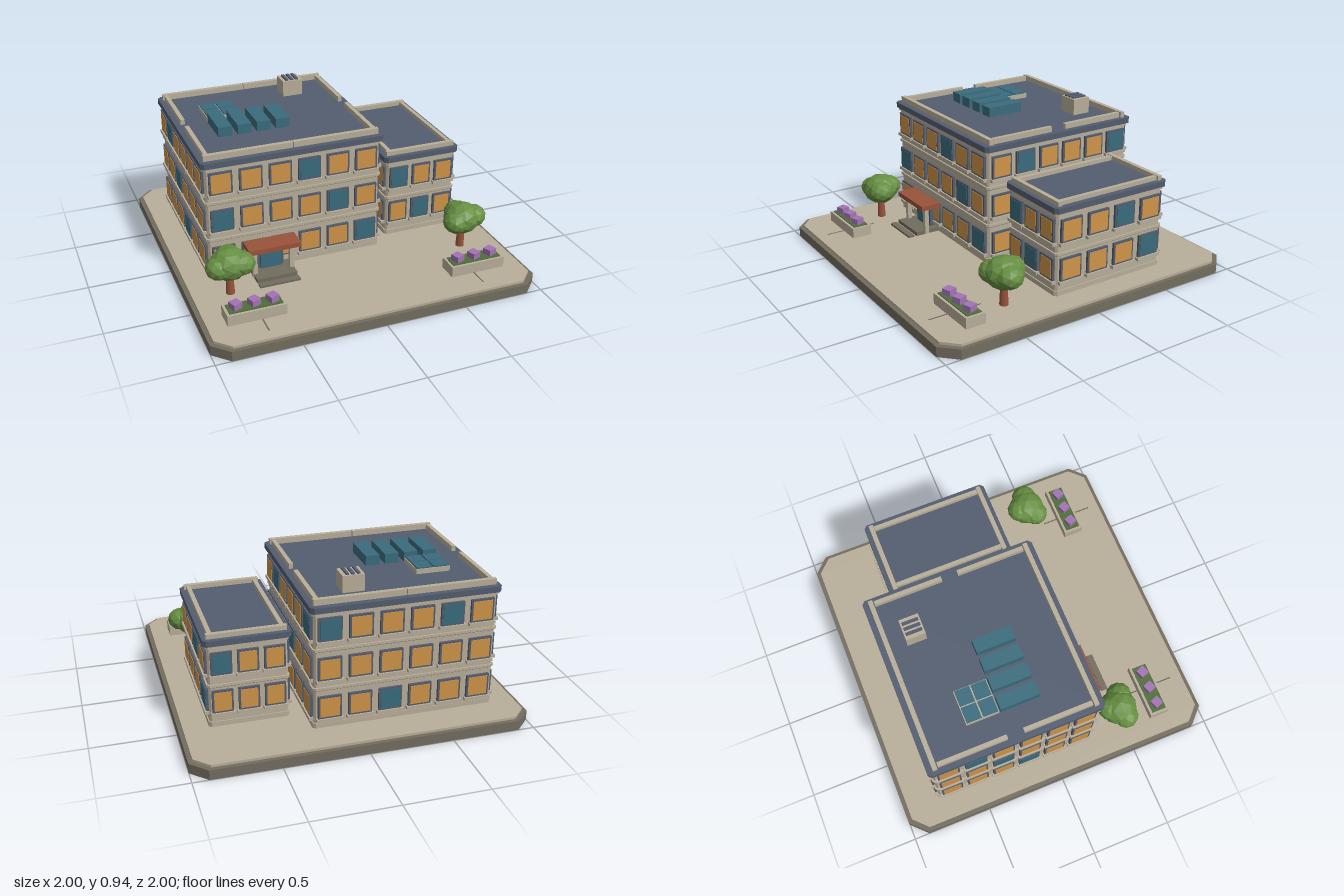
import * as THREE from 'three';

const mat = (name, color) => {
  const m = new THREE.MeshStandardMaterial({ color });
  m.name = name;
  return m;
};

export function createModel() {
  const model = new THREE.Group();
  model.name = 'apartmentBlock';
  const stone = mat('stone', 0xb8ae9a), slate = mat('slate', 0x535d70);
  const amber = mat('amberGlass', 0xcf9448), teal = mat('tealGlass', 0x3a6c7d);
  const curb = mat('curb', 0x736d5f), rust = mat('rust', 0x99533a);
  const moss = mat('moss', 0x4f6d3a), petal = mat('petal', 0xa273b4);
  const leaf = mat('leaf', 0x668f42);
  leaf.flatShading = true;

  const add = (parent, name, geometry, material, x = 0, y = 0, z = 0) => {
    const mesh = new THREE.Mesh(geometry, material);
    mesh.name = name;
    mesh.position.set(x, y, z);
    parent.add(mesh);
    return mesh;
  };
  // Box given by its centre in x and z and by its bottom and top
  const box = (parent, name, material, x, z, w, d, y0, y1) =>
    add(parent, name, new THREE.BoxGeometry(w, y1 - y0, d), material, x, (y0 + y1) / 2, z);
  // Upright prism with cut corners
  const prism = (parent, name, material, x, z, w, d, cut, y0, y1) => {
    const a = w / 2, b = d / 2;
    const pts = [[a, cut - b], [a, b - cut], [a - cut, b], [cut - a, b],
      [-a, b - cut], [-a, cut - b], [cut - a, -b], [a - cut, -b]];
    const shape = new THREE.Shape(pts.map(p => new THREE.Vector2(...p)));
    const g = new THREE.ExtrudeGeometry(shape, { depth: y1 - y0, bevelEnabled: false });
    return add(parent, name, g.rotateX(-Math.PI / 2), material, x, y0, z);
  };
  const group = (name, x = 0, y = 0, z = 0, parent = model) => {
    const g = new THREE.Group();
    g.name = name;
    g.position.set(x, y, z);
    parent.add(g);
    return g;
  };

  // Ground slab
  prism(model, 'curbSlab', curb, 0, 0, 2, 2, 0.095, 0, 0.06);
  prism(model, 'paving', stone, 0, 0, 1.95, 1.95, 0.085, 0.06, 0.075);

  // One window: dark frame, coloured pane, projecting sill
  const addWindow = (parent, x, y, z, w, h, glass) => {
    const win = group('window', x, y, z, parent);
    box(win, 'windowFrame', slate, 0, 0, w + 0.022, 0.03, -h / 2 - 0.011, h / 2 + 0.011);
    box(win, 'windowPane', glass, 0, 0.015, w, 0.006, -h / 2, h / 2);
    box(win, 'windowSill', stone, 0, 0.005, w + 0.042, 0.04, -h / 2 - 0.03, -h / 2 - 0.011);
  };

  // Wing of the building: walls, string courses, roof slab and four window fronts.
  // Rows run from the top floor down; T is teal glass, o is amber glass, . is blank.
  const addWing = (o) => {
    const wing = group(o.name, o.x, 0, o.z);
    prism(wing, 'walls', stone, 0, 0, o.w, o.d, 0.012, 0.075, o.roof);
    prism(wing, 'plinth', stone, 0, 0, o.w + 0.014, o.d + 0.014, 0.015, 0.075, 0.105);
    for (const y of o.bands) {
      prism(wing, 'stringCourse', stone, 0, 0, o.w + 0.02, o.d + 0.02, 0.015, y, y + 0.016);
      prism(wing, 'floorLine', curb, 0, 0, o.w + 0.006, o.d + 0.006, 0.012, y - 0.006, y);
    }
    prism(wing, 'cornice', stone, 0, 0, o.w + 0.02, o.d + 0.02, 0.015, o.roof - 0.018, o.roof);
    prism(wing, 'roofSlab', slate, 0, 0, o.w + 0.045, o.d + 0.045, 0.02, o.roof, o.roof + 0.035);
    o.fronts.forEach((rows, side) => {
      const front = group('windowFront', 0, 0, 0, wing);
      front.rotation.y = side * Math.PI / 2;
      const odd = side % 2, out = (odd ? o.w : o.d) / 2;
      rows.forEach((row, r) => [...row].forEach((c, i) => {
        if (c === '.') return;
        const x = (i - (row.length - 1) / 2) * o.step[odd];
        addWindow(front, x, o.floors[r], out, o.pane[odd], 0.117, c === 'T' ? teal : amber);
      }));
    });
    return wing;
  };

  // Sides in order: front, right, back, left
  const main = addWing({
    name: 'mainBlock', x: -0.28, z: -0.25, w: 1.08, d: 1.035, roof: 0.79,
    bands: [0.315, 0.555], floors: [0.688, 0.447, 0.206], step: [0.18, 0.17], pane: [0.117, 0.113],
    fronts: [
      ['oooToo', 'ToooTo', 'oooooT'],
      ['oToooT', 'oooToo', 'oooooo'],
      ['ToooTo', 'oooooo', 'ooTooo'],
      ['oToooo', 'ooTooo', 'oooToo'],
    ],
  });
  const annex = addWing({
    name: 'annex', x: 0.59, z: -0.205, w: 0.46, d: 0.76, roof: 0.585,
    bands: [0.325], floors: [0.472, 0.235], step: [0.153, 0.19], pane: [0.1, 0.123],
    fronts: [['Too', 'oTo'], ['ooTo', 'oooT'], ['Too', 'ooo'], ['oooo', 'oToo']],
  });

  // Parapets: long rails front and back, side rails on the main block leave a gap
  for (const s of [-1, 1]) {
    for (const t of [-1, 1]) {
      box(main, 'parapetRail', stone, t * 0.27, s * 0.49, 0.536, 0.028, 0.825, 0.86);
      box(main, 'parapetSideRail', stone, s * 0.515, t * 0.26, 0.026, 0.42, 0.825, 0.858);
    }
    box(annex, 'parapetRail', stone, 0, s * 0.36, 0.46, 0.028, 0.62, 0.648);
    box(annex, 'parapetSideRail', stone, s * 0.205, 0, 0.026, 0.69, 0.62, 0.645);
  }

  // Roof equipment
  const roof = group('roofEquipment');
  for (let i = 0; i < 4; i++)
    box(roof, 'solarBox', teal, -0.602 + i * 0.12, -0.16, 0.085, 0.24, 0.825, 0.886);
  box(roof, 'skylightFrame', stone, -0.542, -0.387, 0.208, 0.202, 0.825, 0.855);
  for (const s of [-1, 1]) for (const t of [-1, 1])
    box(roof, 'skylightPane', teal, -0.542 + s * 0.052, -0.387 + t * 0.05, 0.095, 0.091, 0.855, 0.864);
  box(roof, 'ventBox', stone, -0.01, -0.57, 0.13, 0.12, 0.825, 0.926);
  for (let i = -1; i < 2; i++)
    box(roof, 'ventSlat', slate, -0.01 + i * 0.033, -0.57, 0.018, 0.1, 0.926, 0.935);

  // Entrance porch
  const porch = group('entrance', -0.455);
  box(porch, 'doorFrame', slate, 0, 0.285, 0.16, 0.05, 0.08, 0.25);
  box(porch, 'door', teal, 0, 0.305, 0.132, 0.04, 0.09, 0.245);
  box(porch, 'canopy', rust, 0, 0.345, 0.32, 0.13, 0.252, 0.282);
  for (const s of [-1, 1]) box(porch, 'porchPost', stone, s * 0.115, 0.36, 0.028, 0.028, 0.075, 0.252);
  box(porch, 'upperStep', curb, 0, 0.355, 0.25, 0.16, 0.075, 0.1);
  box(porch, 'lowerStep', curb, 0, 0.473, 0.25, 0.04, 0.075, 0.088);

  // Trees with lumpy faceted crowns
  const addTree = (x, turn) => {
    const tree = group('tree', x, 0, 0.47);
    add(tree, 'trunk', new THREE.CylinderGeometry(0.02, 0.027, 0.14, 8), rust, 0, 0.145, 0);
    const crown = group('crown', 0, 0.272, 0, tree);
    crown.rotation.y = turn;
    const lobes = [[0, 0, 0, 0.115], [0.065, 0.005, 0.03, 0.082], [-0.068, -0.005, 0.02, 0.08], [0.01, 0.015, -0.055, 0.08]];
    for (const [lx, ly, lz, r] of lobes) {
      const lobe = add(crown, 'leafLobe', new THREE.IcosahedronGeometry(r, 1), leaf, lx, ly, lz);
      lobe.scale.y = 0.85;
      lobe.rotation.y = lx * 20;
    }
  };
  addTree(-0.755, 0);
  addTree(0.738, 0.3);

  // Flower planters and paving joints
  for (const x of [-0.692, 0.688]) {
    const planter = group('planter', x, 0, 0.728);
    for (const s of [-1, 1]) {
      box(planter, 'planterLongSide', stone, 0, s * 0.055, 0.346, 0.016, 0.075, 0.14);
      box(planter, 'planterEnd', stone, s * 0.165, 0, 0.016, 0.094, 0.075, 0.14);
    }
    box(planter, 'planting', moss, 0, 0, 0.314, 0.094, 0.075, 0.145);
    for (let i = -1; i < 2; i++)
      box(planter, 'flower', petal, i * 0.108, 0, 0.056, 0.056, 0.145, 0.182).rotation.y = 0.35;
    box(model, 'pavingJoint', curb, x < 0 ? -0.665 : 0.662, 0.74, 0.008, 0.33, 0.072, 0.077);
  }
  return model;
}
